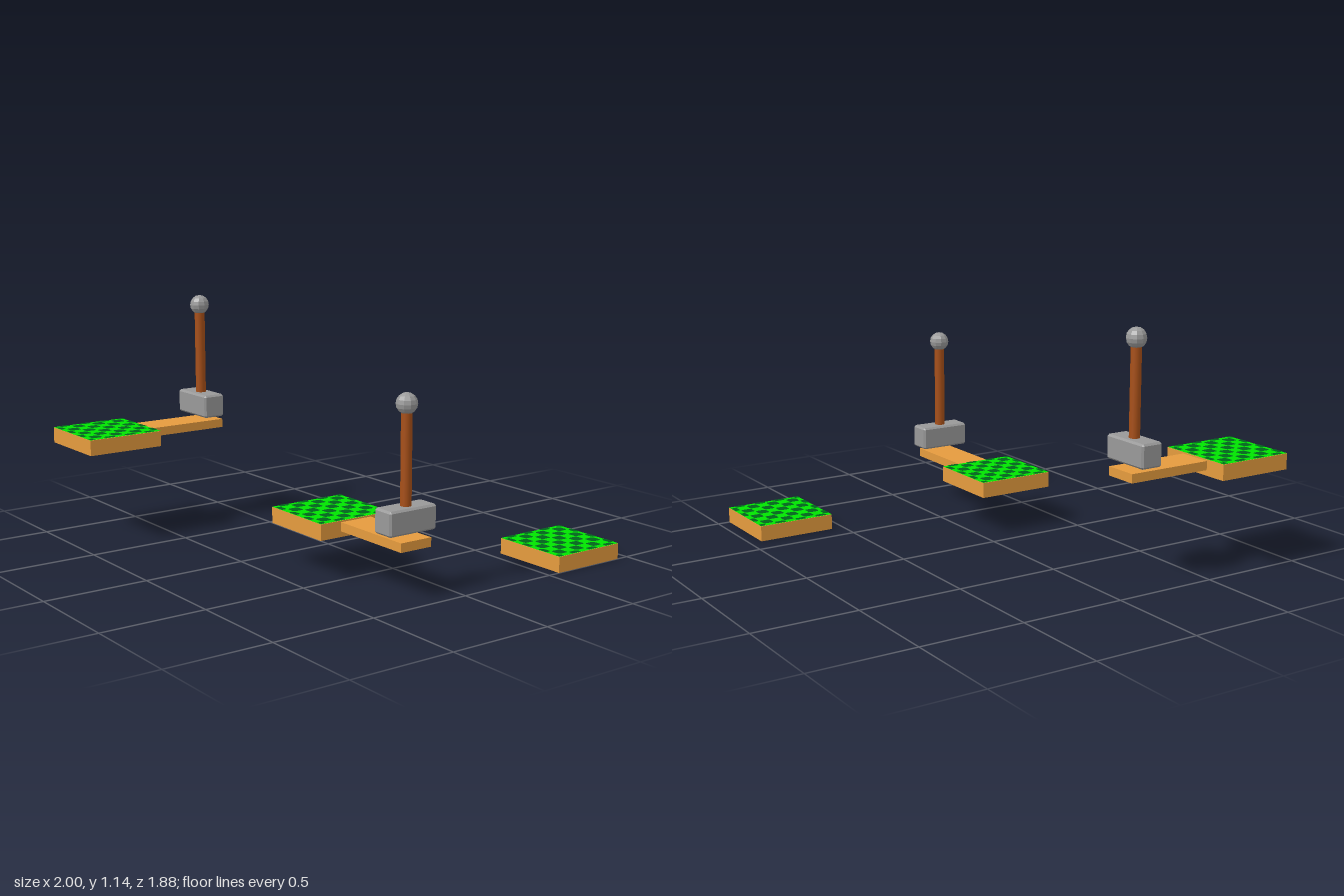
import * as THREE from 'three';
import { ConvexGeometry } from 'three/addons/geometries/ConvexGeometry.js';

const LONG = 0.387, SHORT = 0.38, THICK = 0.075, CELLS = 7;

const mat = (name, color) => {
  const m = new THREE.MeshStandardMaterial({ color });
  m.name = name;
  return m;
};

function part(parent, name, geometry, material, x, y, z) {
  const mesh = new THREE.Mesh(geometry, material);
  mesh.name = name;
  mesh.position.set(x, y, z);
  parent.add(mesh);
}

// Box with flat chamfers of width c on all edges
function chamferBox(w, h, d, c) {
  const pts = [];
  for (const sx of [-1, 1]) for (const sy of [-1, 1]) for (const sz of [-1, 1])
    for (let k = 0; k < 3; k++) {
      const inset = [0, 1, 2].map(i => (i === k ? 0 : c));
      pts.push(new THREE.Vector3(
        sx * (w / 2 - inset[0]), sy * (h / 2 - inset[1]), sz * (d / 2 - inset[2])));
    }
  return new ConvexGeometry(pts);
}

// Faceted ball
function facetedBall(radius) {
  const g = new THREE.SphereGeometry(radius, 10, 8).toNonIndexed();
  g.computeVertexNormals();
  return g;
}

// Rounded square patch, cut off where it passes the platform edge
function patchShape(cx, cy, w, d) {
  const half = 0.027, r = 0.011, pts = [];
  const max = new THREE.Vector2(w / 2, d / 2), min = max.clone().negate();
  const signs = [[1, 1], [-1, 1], [-1, -1], [1, -1]];
  signs.forEach(([sx, sy], k) => {
    for (let s = 0; s <= 3; s++) {
      const a = (k + s / 3) * Math.PI / 2;
      const p = new THREE.Vector2(
        cx + sx * (half - r) + Math.cos(a) * r,
        cy + sy * (half - r) + Math.sin(a) * r
      ).clamp(min, max);
      if (!pts.length || pts[pts.length - 1].distanceTo(p) > 1e-5) pts.push(p);
    }
  });
  return new THREE.Shape(pts);
}

// Checker of patches sitting on the grid points of the grass
function patchGeometry(w, d) {
  const shapes = [];
  for (let i = 0; i <= CELLS; i++)
    for (let j = 0; j <= CELLS; j++)
      if ((i + j) % 2 === 0)
        shapes.push(patchShape((i / CELLS - 0.5) * w, (0.5 - j / CELLS) * d, w, d));
  return new THREE.ShapeGeometry(shapes).rotateX(-Math.PI / 2);
}

export function createModel() {
  const wood = mat('wood', 0xe59b3e);
  const grass = mat('grass', 0x00e400);
  const darkGrass = mat('dark grass', 0x00641a);
  const stone = mat('stone', 0x999999);
  const handleWood = mat('handle wood', 0xa85018);
  const model = new THREE.Group();
  model.name = 'leverPlatforms';

  function platform(name, w, d, x, y, z) {
    const g = new THREE.Group();
    g.name = name;
    g.position.set(x, y, z);
    const lawn = new THREE.PlaneGeometry(w, d).rotateX(-Math.PI / 2);
    part(g, 'platformSlab', new THREE.BoxGeometry(w, THICK, d), wood, 0, THICK / 2, 0);
    part(g, 'grassTop', lawn, grass, 0, THICK + 0.001, 0);
    part(g, 'grassPatches', patchGeometry(w, d), darkGrass, 0, THICK + 0.003, 0);
    model.add(g);
    return g;
  }

  // Plank running out along -z, with a lever hovering over its far end
  function leverArm(parent, turn) {
    const arm = new THREE.Group();
    arm.name = 'leverArm';
    arm.rotation.y = turn;
    const near = SHORT / 2, far = 0.613, leverZ = -0.54;
    part(arm, 'plank', new THREE.BoxGeometry(0.165, 0.042, far - near), wood,
      0, 0.047, -(near + far) / 2);
    part(arm, 'leverBase', chamferBox(0.257, 0.113, 0.111, 0.009), stone, 0, 0.1485, leverZ);
    part(arm, 'leverHandle', new THREE.CylinderGeometry(0.025, 0.025, 0.46, 12), handleWood,
      0, 0.41, leverZ);
    part(arm, 'leverKnob', facetedBall(0.048), stone, 0, 0.648, leverZ);
    parent.add(arm);
  }

  leverArm(platform('highPlatform', LONG, SHORT, -0.806, 0.447, 0.7505), 0);
  leverArm(platform('middlePlatform', SHORT, LONG, 0.2955, 0.192, 0.2015), -Math.PI / 2);
  platform('lowPlatform', LONG, SHORT, 0.806, 0, -0.7505);
  return model;
}
